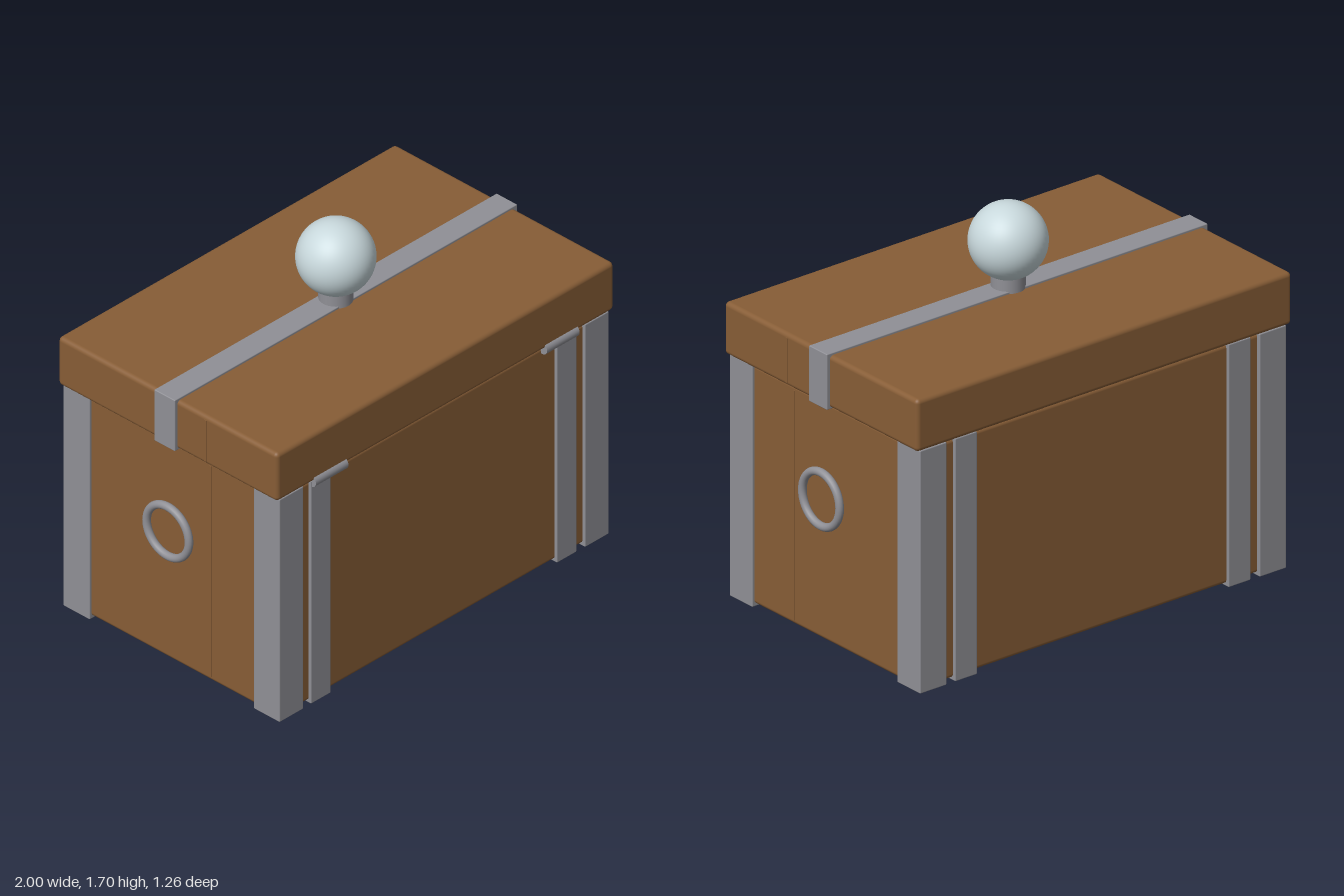
import * as THREE from 'three';
import { RoundedBoxGeometry } from 'three/addons/geometries/RoundedBoxGeometry.js';

const material = (name, color) => {
  const m = new THREE.MeshStandardMaterial({ color });
  m.name = name;
  return m;
};

export function createModel() {
  const wood = material('brown wood', 0x875d36);
  const metal = material('grey metal', 0x909096);
  const pearl = material('pale knob', 0xc8d8dc);
  const group = new THREE.Group();

  const add = (name, geometry, mat, x = 0, y = 0, z = 0) => {
    const mesh = new THREE.Mesh(geometry, mat);
    mesh.name = name;
    mesh.position.set(x, y, z);
    group.add(mesh);
    return mesh;
  };
  // Box given by its lower and upper corners, with softened edges
  const block = (name, mat, [x0, y0, z0], [x1, y1, z1], radius) =>
    add(name, new RoundedBoxGeometry(x1 - x0, y1 - y0, z1 - z0, 3, radius), mat,
      (x0 + x1) / 2, (y0 + y1) / 2, (z0 + z1) / 2);

  // Wooden chest and its overhanging lid
  block('body', wood, [-0.95, 0.012, -0.6], [0.95, 1.085, 0.595], 0.018);
  block('lid', wood, [-0.985, 1.09, -0.626], [0.985, 1.325, 0.618], 0.02);

  // Metal band across the lid, folded down at both ends
  block('lidBand', metal, [-1, 1.085, -0.064], [1, 1.335, 0.053], 0.004);

  for (const s of [-1, 1]) {
    // Corner posts
    for (const [z0, z1] of [[-0.617, -0.467], [0.463, 0.61]]) {
      block('cornerPost', metal, [s * 0.892 - 0.07, 0, z0], [s * 0.892 + 0.07, 1.09, z1], 0.005);
    }
    // Strap wrapped around the front, bottom and back
    block('bodyStrap', metal, [s * 0.718 - 0.058, 0, -0.615], [s * 0.718 + 0.058, 1.09, 0.608], 0.005);

    // Hinge barrel along the front edge of the lid
    const hinge = add('hinge', new THREE.CylinderGeometry(0.028, 0.028, 0.19, 24), metal, s * 0.675, 1.088, 0.602);
    hinge.rotation.z = Math.PI / 2;

    // Side ring handle
    const ring = add('ringHandle', new THREE.TorusGeometry(0.12, 0.018, 16, 48), metal, s * 0.982, 0.66, -0.004);
    ring.rotation.y = Math.PI / 2;

    // Fine vertical seams on the sides
    add('bodySeam', new THREE.BoxGeometry(0.006, 1.03, 0.012), wood, s * 0.95, 0.548, 0.207);
    add('lidSeam', new THREE.BoxGeometry(0.006, 0.2, 0.012), wood, s * 0.985, 1.207, 0.213);
  }

  // Knob on a short neck
  add('knobNeck', new THREE.CylinderGeometry(0.072, 0.072, 0.07, 32), metal, 0, 1.36, -0.005);
  add('knob', new THREE.SphereGeometry(0.166, 48, 32), pearl, 0, 1.535, -0.005);

  return group;
}
